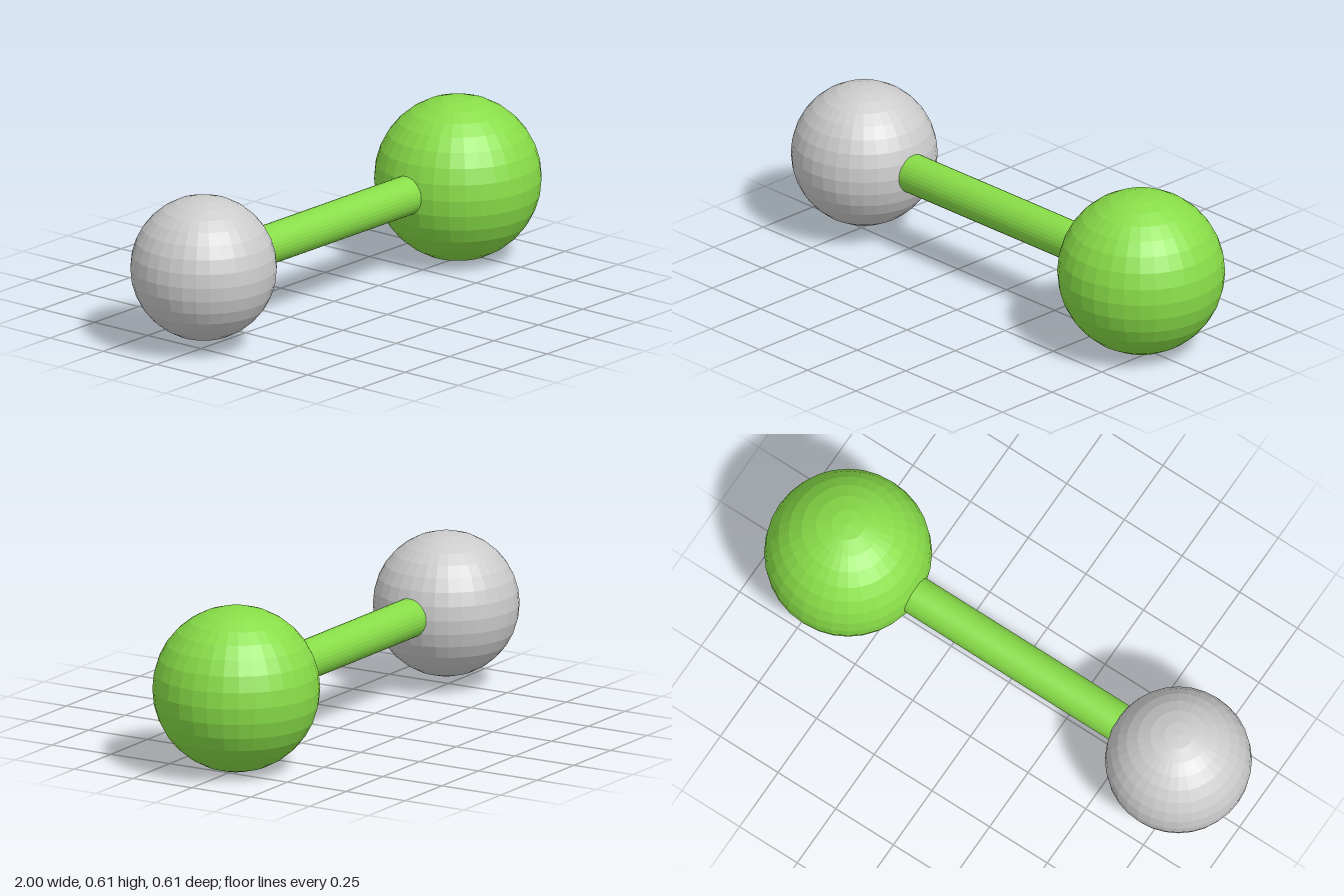
import * as THREE from 'three';

const GREY = 0xcccccc;
const GREEN = 0x88dd48;
const AXIS_Y = 0.303;

function addPart(group, name, geometry, color, x) {
  const material = new THREE.MeshStandardMaterial({ color, flatShading: true });
  const mesh = new THREE.Mesh(geometry, material);
  mesh.name = name;
  mesh.position.set(x, AXIS_Y, 0);
  group.add(mesh);
}

export function createModel() {
  const group = new THREE.Group();
  group.name = 'ballAndStickPair';

  const smallRadius = 0.265, largeRadius = 0.303;
  const smallX = -1 + smallRadius, largeX = 1 - largeRadius;

  // The two balls, touching the ends of the overall length
  addPart(group, 'smallBall', new THREE.SphereGeometry(smallRadius, 32, 16), GREY, smallX);
  addPart(group, 'largeBall', new THREE.SphereGeometry(largeRadius, 32, 16), GREEN, largeX);

  // Connecting rod, running from ball centre to ball centre
  const rod = new THREE.CylinderGeometry(0.072, 0.072, largeX - smallX, 32);
  rod.rotateZ(Math.PI / 2);
  addPart(group, 'connectingRod', rod, GREEN, (smallX + largeX) / 2);

  return group;
}
